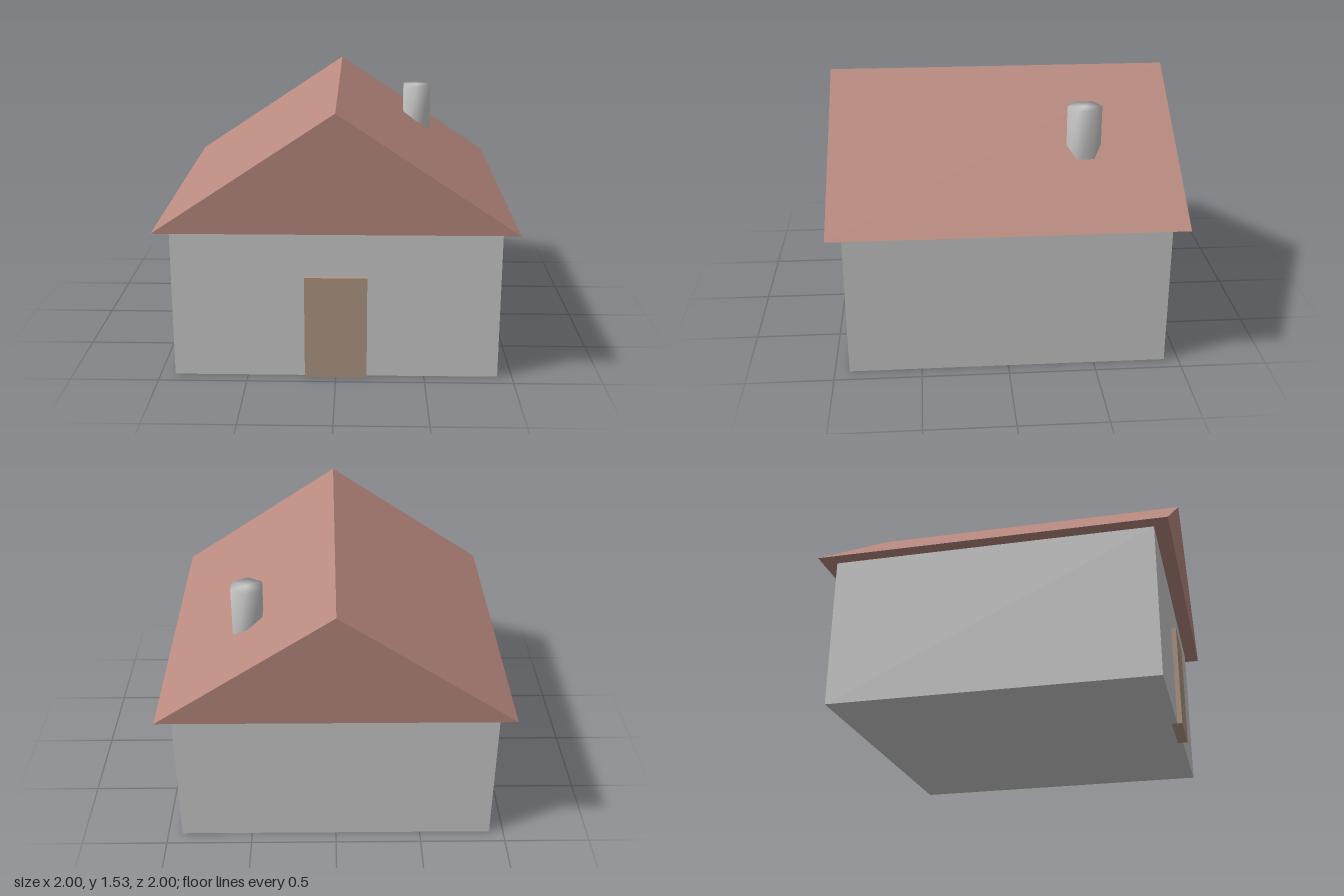
import * as THREE from 'three';
import { mergeVertices } from 'three/addons/utils/BufferGeometryUtils.js';

export function createModel() {
  const house = new THREE.Group();
  house.name = 'house';

  const add = (name, geometry, color, x, y, z, flatShading = true) => {
    const material = new THREE.MeshStandardMaterial({ color, flatShading });
    const mesh = new THREE.Mesh(geometry, material);
    mesh.name = name;
    mesh.position.set(x, y, z);
    house.add(mesh);
  };

  const eaves = 0.87, ridge = 1.535;

  // Square walls standing on the ground
  add('walls', new THREE.BoxGeometry(1.834, eaves, 1.834), 0xcccccc, 0, eaves / 2, 0);

  // Solid gable roof, overhanging on all sides, ridge running front to back
  const gable = new THREE.Shape([
    new THREE.Vector2(-1, 0),
    new THREE.Vector2(1, 0),
    new THREE.Vector2(0, ridge - eaves),
  ]);
  const roof = new THREE.ExtrudeGeometry(gable, { depth: 2, bevelEnabled: false });
  add('roof', roof, 0xb8897f, 0, eaves, -1);

  // Door slab, half sunk into the front wall
  add('door', new THREE.BoxGeometry(0.35, 0.6, 0.06), 0xb19884, 0, 0.3, 0.915);

  // Six-sided chimney with normals smoothed over the rim
  const tube = new THREE.CylinderGeometry(0.1, 0.1, 0.4, 6);
  tube.deleteAttribute('uv');
  tube.deleteAttribute('normal');
  const chimney = mergeVertices(tube);
  chimney.computeVertexNormals();
  add('chimney', chimney, 0xcccccc, 0.5, 1.235, -0.465, false);

  return house;
}
